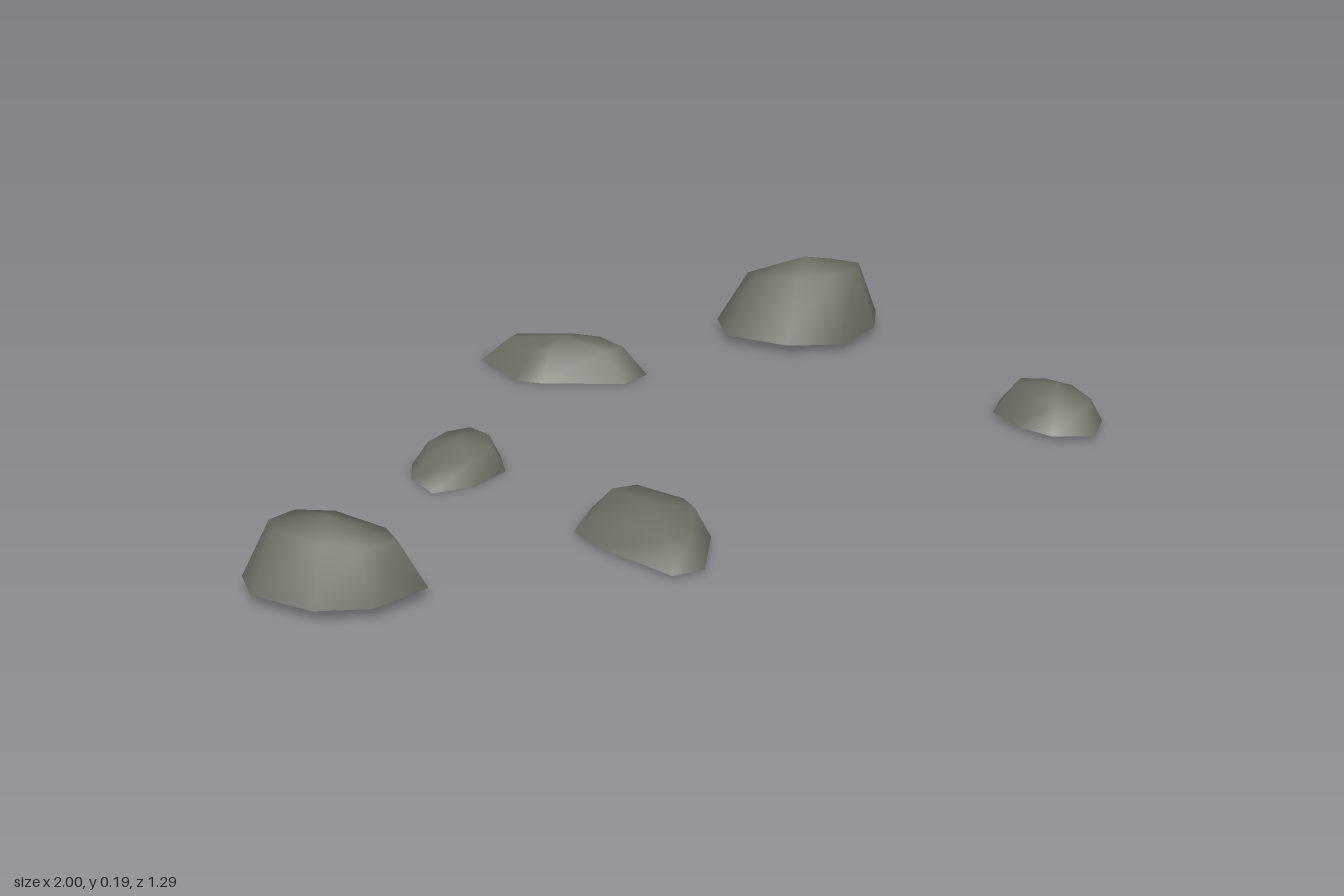
import * as THREE from 'three';

// Shoulder ring as a share of the ground outline's extents
const INSET = 0.17;
const SHOULDER = 0.69;

// Open-bottomed shell: ground ring, tilted shoulder ring, single peak over the middle
function rockGeometry(outline, base, shoulderY, peakY, tiltX, tiltZ) {
  const n = outline.length;
  const box = new THREE.Box2().setFromPoints(outline);
  const size = box.getSize(new THREE.Vector2());
  const middle = box.getCenter(new THREE.Vector2());

  const points = outline.map((p) => [p.x, base, p.y]);
  for (const p of outline) {
    const u = (p.x - box.min.x) / size.x;
    const v = (p.y - box.min.y) / size.y;
    points.push([
      box.min.x + size.x * (INSET + SHOULDER * u),
      shoulderY + tiltX * (u - 0.5) + tiltZ * (v - 0.5),
      box.min.y + size.y * (INSET + SHOULDER * v),
    ]);
  }
  points.push([middle.x, peakY, middle.y]);

  const index = [];
  for (let i = 0; i < n; i++) {
    const j = (i + 1) % n;
    index.push(j, i, n + i, j, n + i, n + j); // side
    index.push(2 * n, n + j, n + i); // cap
  }
  const geometry = new THREE.BufferGeometry();
  geometry.setAttribute('position', new THREE.Float32BufferAttribute(points.flat(), 3));
  geometry.setIndex(index);
  geometry.computeVertexNormals();
  return geometry;
}

export function createModel() {
  const stone = new THREE.MeshStandardMaterial({ color: 0x6b6f63, side: THREE.DoubleSide });
  stone.name = 'stone';

  const group = new THREE.Group();
  group.name = 'rocks';

  // Ground outline as x, z pairs; heights are base, shoulder, peak and shoulder tilt along x and z
  function addRock(name, pairs, ...heights) {
    const outline = pairs.map(([x, z]) => new THREE.Vector2(x, z));
    const mesh = new THREE.Mesh(rockGeometry(outline, ...heights), stone);
    mesh.name = name;
    group.add(mesh);
  }

  addRock('largeRock', [[0.56, -0.39], [0.62, -0.51], [0.84, -0.57], [1, -0.51], [0.99, -0.34], [0.9, -0.24], [0.74, -0.18], [0.63, -0.25]],
    0.02, 0.154, 0.187, -0.008, 0.041);
  addRock('leftRock', [[-1, 0.31], [-0.98, 0.23], [-0.88, 0.17], [-0.78, 0.2], [-0.71, 0.35], [-0.73, 0.46], [-0.85, 0.48], [-0.94, 0.43]],
    0.022, 0.118, 0.143, -0.034, 0);
  addRock('smallRock', [[-0.49, -0.05], [-0.45, -0.12], [-0.37, -0.145], [-0.3, -0.13], [-0.275, -0.06], [-0.31, 0.02], [-0.4, 0.055], [-0.49, 0.04]],
    0, 0.05, 0.065, 0.01, -0.016);
  addRock('frontRock', [[-0.37, 0.37], [-0.275, 0.29], [-0.21, 0.315], [-0.16, 0.47], [-0.17, 0.535], [-0.265, 0.645], [-0.33, 0.635], [-0.37, 0.465]],
    0.008, 0.063, 0.077, 0.013, -0.007);
  addRock('backRock', [[-0.01, -0.44], [0, -0.61], [0.056, -0.645], [0.22, -0.545], [0.275, -0.46], [0.265, -0.305], [0.185, -0.28], [0.03, -0.39]],
    0.002, 0.063, 0.079, -0.008, 0.011);
  addRock('rightRock', [[0.72, 0.43], [0.74, 0.34], [0.81, 0.29], [0.9, 0.315], [0.945, 0.385], [0.9, 0.51], [0.815, 0.57], [0.74, 0.52]],
    0.008, 0.064, 0.083, -0.02, -0.01);

  return group;
}
